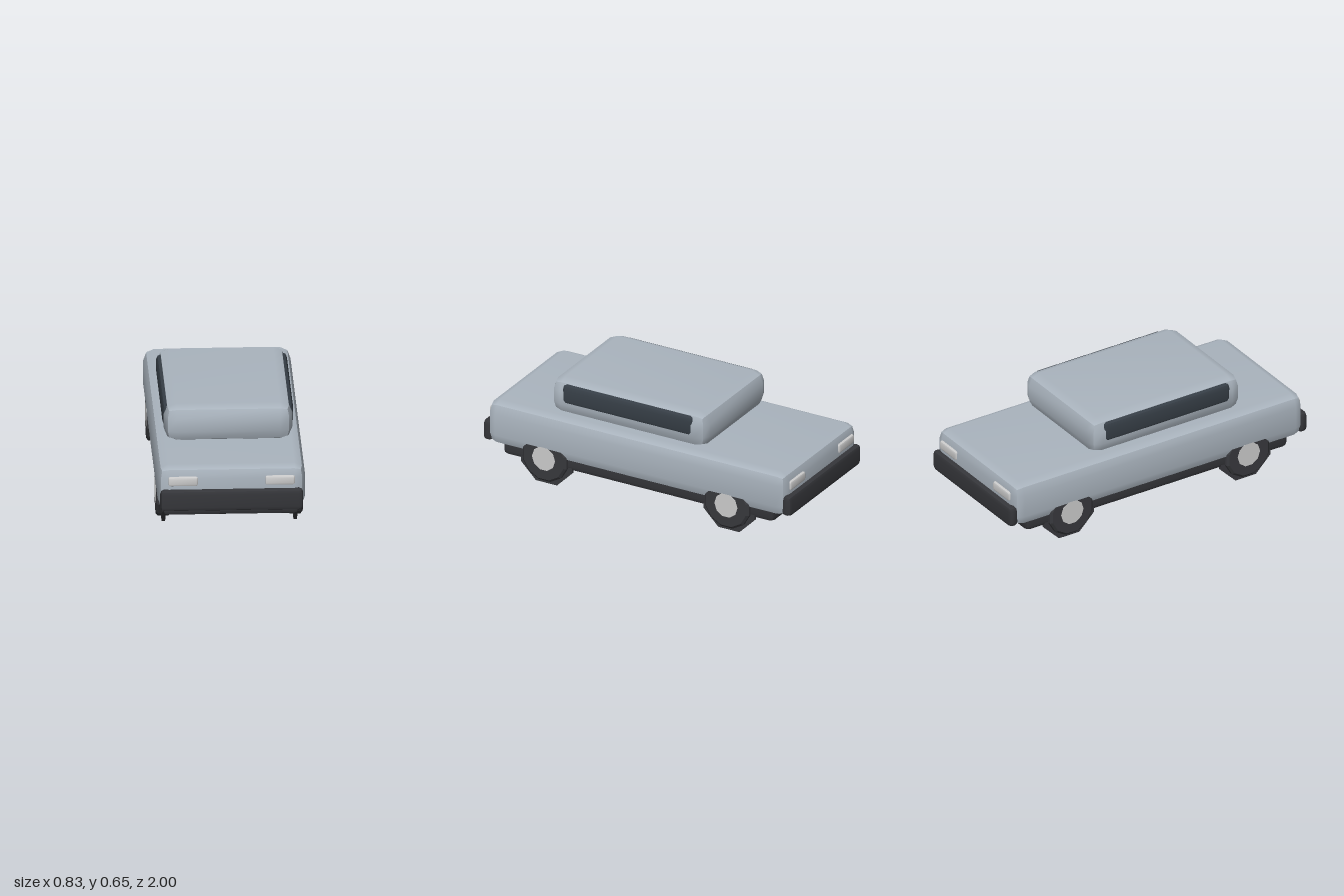
import * as THREE from 'three';

const paint = (color) => new THREE.MeshStandardMaterial({ color });

// Box with two-step bevelled edges; each side is smooth and meets its neighbour at a crease
function bevelBox(w, h, d, rx, ry = rx, rz = rx) {
  const geo = new THREE.BoxGeometry(1, 1, 1, 3, 3, 3);
  const pos = geo.attributes.position;
  const p = new THREE.Vector3();
  const n = new THREE.Vector3();
  const outer = (v) => (Math.abs(v) > 0.4 ? Math.sign(v) : 0);
  for (let i = 0; i < pos.count; i++) {
    p.fromBufferAttribute(pos, i);
    n.set(outer(p.x), outer(p.y), outer(p.z)).normalize();
    pos.setXYZ(i,
      Math.sign(p.x) * (w / 2 - rx) + n.x * rx,
      Math.sign(p.y) * (h / 2 - ry) + n.y * ry,
      Math.sign(p.z) * (d / 2 - rz) + n.z * rz);
  }
  geo.computeVertexNormals();
  return geo;
}

export function createModel() {
  const car = new THREE.Group();
  car.name = 'car';
  const bodyPaint = paint(0xaab4be);
  const glass = paint(0x363e46);
  const trim = paint(0x35363a);
  const rubber = paint(0x38393d);
  rubber.flatShading = true;
  const chrome = paint(0xcccccc);
  const hubMetal = paint(0xcccccc);
  hubMetal.flatShading = true;

  const add = (name, geo, mat, x, y, z, parent = car) => {
    const mesh = new THREE.Mesh(geo, mat);
    mesh.name = name;
    mesh.position.set(x, y, z);
    parent.add(mesh);
    return mesh;
  };

  // Main shells
  add('body', bevelBox(0.83, 0.272, 1.94, 0.06, 0.07, 0.06), bodyPaint, 0, 0.301, 0);
  add('cabin', bevelBox(0.724, 0.217, 1.01, 0.07), bodyPaint, 0, 0.5435, 0.085);
  add('chassis', bevelBox(0.77, 0.12, 1.76, 0.03), trim, 0, 0.17, 0);

  // Side windows
  const windowGeo = bevelBox(0.06, 0.126, 0.85, 0.03, 0.03, 0.025);
  for (const side of [1, -1]) {
    add(side > 0 ? 'leftWindow' : 'rightWindow', windowGeo, glass, side * 0.338, 0.568, 0.082);
  }

  // Bumpers and lamps at both ends
  const bumperGeo = bevelBox(0.804, 0.125, 0.06, 0.025, 0.025, 0.022);
  const lampGeo = bevelBox(0.17, 0.056, 0.05, 0.014);
  for (const end of [1, -1]) {
    const label = end > 0 ? 'front' : 'rear';
    add(label + 'Bumper', bumperGeo, trim, 0, 0.243, end * 0.97);
    for (const side of [1, -1]) {
      add(label + (side > 0 ? 'Left' : 'Right') + 'Lamp', lampGeo, chrome, side * 0.273, 0.353, end * 0.956);
    }
  }

  // Wheels: chamfered tyre, octagonal tread ring and hub, axis turned to x
  const tyreGeo = new THREE.LatheGeometry(
    [[0, -0.042], [0.133, -0.042], [0.147, -0.03], [0.147, 0.03], [0.133, 0.042], [0, 0.042]]
      .map(([r, y]) => new THREE.Vector2(r, y)), 12, Math.PI / 12);
  const ringGeo = new THREE.CylinderGeometry(0.1786, 0.1786, 0.02, 8, 1, false, Math.PI / 8);
  const hubGeo = new THREE.CylinderGeometry(0.075, 0.075, 0.087, 10);
  for (const z of [0.595, -0.59]) {
    for (const side of [1, -1]) {
      const wheel = new THREE.Group();
      wheel.name = (z > 0 ? 'front' : 'rear') + (side > 0 ? 'Left' : 'Right') + 'Wheel';
      wheel.position.set(side * 0.371, 0.165, z);
      wheel.rotation.z = -side * Math.PI / 2;
      add('tyre', tyreGeo, rubber, 0, 0, 0, wheel);
      add('treadRing', ringGeo, rubber, 0, 0, 0, wheel);
      add('hub', hubGeo, hubMetal, 0, 0, 0, wheel);
      car.add(wheel);
    }
  }
  return car;
}
